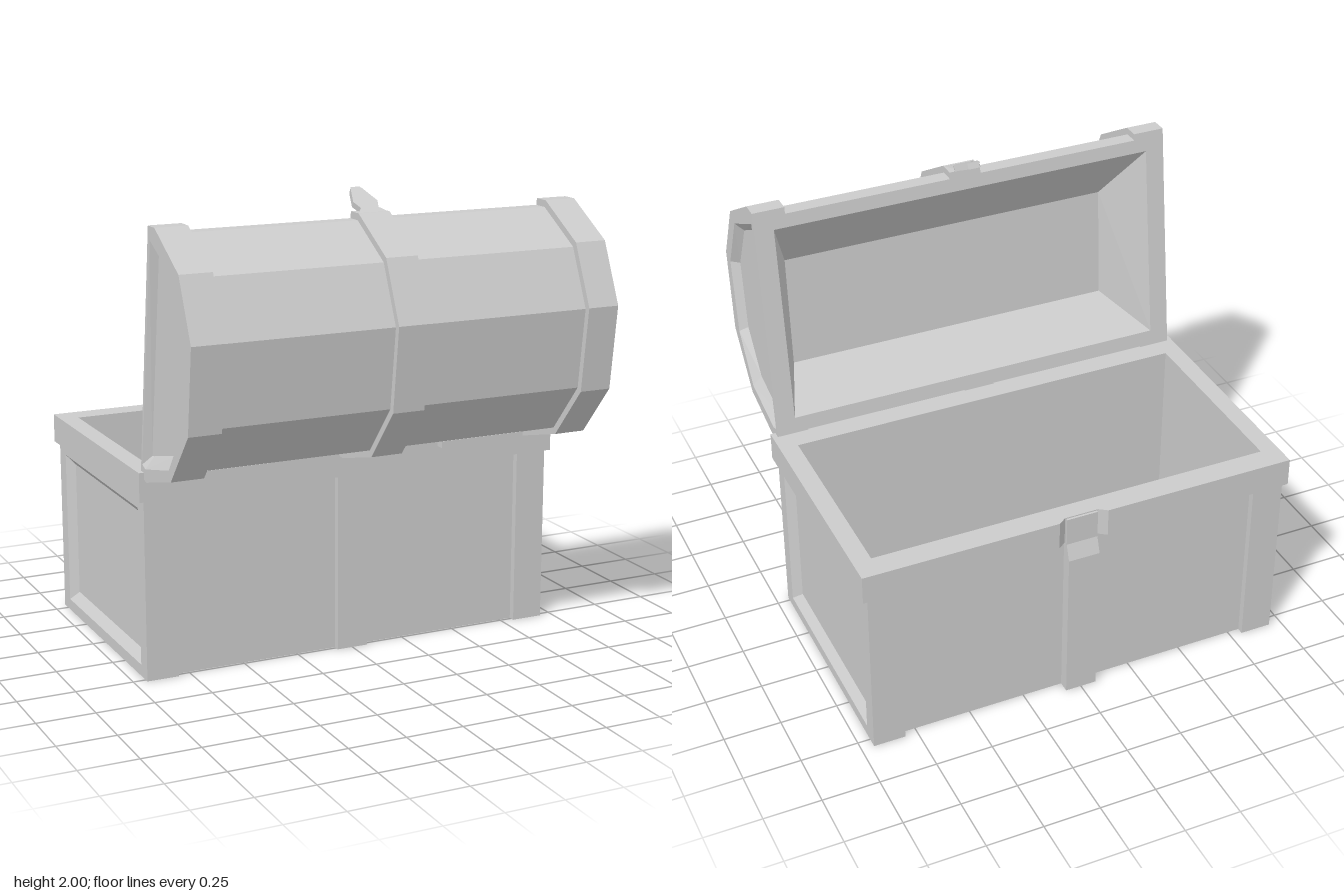
import * as THREE from 'three';

const mat = new THREE.MeshStandardMaterial({ color: 0xcccccc, flatShading: true, side: THREE.DoubleSide });

function add(parent, name, geometry) {
  const mesh = new THREE.Mesh(geometry, mat);
  mesh.name = name;
  parent.add(mesh);
  return mesh;
}

// Box given by its limits on each axis
function box(parent, name, x0, x1, y0, y1, z0, z1) {
  const g = new THREE.BoxGeometry(x1 - x0, y1 - y0, z1 - z0);
  g.translate((x0 + x1) / 2, (y0 + y1) / 2, (z0 + z1) / 2);
  return add(parent, name, g);
}

// Skin through a list of loops of [x, y, z], with an optional flat end cap
function skin(loops, closed, cap) {
  const v = [];
  for (let k = 0; k + 1 < loops.length; k++) {
    const a = loops[k], b = loops[k + 1], n = a.length;
    for (let i = 0; i < (closed ? n : n - 1); i++) {
      const j = (i + 1) % n;
      v.push(...a[i], ...a[j], ...b[j], ...a[i], ...b[j], ...b[i]);
    }
  }
  if (cap) {
    const c = loops[loops.length - 1];
    for (let i = 1; i + 1 < c.length; i++) v.push(...c[0], ...c[i], ...c[i + 1]);
  }
  const g = new THREE.BufferGeometry();
  g.setAttribute('position', new THREE.Float32BufferAttribute(v, 3));
  g.computeVertexNormals();
  return g;
}

// Profile of [z, y] placed at x
const at = (profile, x) => profile.map(([z, y]) => [x, y, z]);
// The same, with the order reversed on the -x side so faces look outward
const atSide = (profile, x) => (x > 0 ? at(profile, x) : at(profile, x).reverse());
const shapeOf = (pts) => new THREE.Shape(pts.map((p) => new THREE.Vector2(...p)));

function buildBase() {
  const base = new THREE.Group();
  base.name = 'chestBase';
  box(base, 'floor', -0.9, 0.9, 0, 0.06, -0.765, 0.24);
  box(base, 'frontWall', -0.89, 0.89, 0, 0.775, -0.765, -0.70);
  box(base, 'backWall', -0.89, 0.89, 0, 0.775, 0.155, 0.24);

  // Ends: corner straps, rails and a sunken panel with a sloped border
  const opening = [[-0.72, 0.73], [0.2, 0.73], [0.2, 0.05], [-0.72, 0.05]];
  const panel = [[-0.685, 0.69], [0.16, 0.69], [0.16, 0.09], [-0.685, 0.09]];
  for (const s of [-1, 1]) {
    const side = (name, a, b, ...rest) => box(base, name, Math.min(s * a, s * b), Math.max(s * a, s * b), ...rest);
    side('endWall', 0.887, 0.908, 0, 0.775, -0.75, 0.23);
    side('frontCornerStrap', 0.805, 0.945, 0, 0.775, -0.795, -0.72);
    side('backCornerStrap', 0.805, 0.945, 0, 0.775, 0.2, 0.27);
    side('bottomRail', 0.887, 0.945, 0, 0.05, -0.72, 0.2);
    side('topRail', 0.887, 0.945, 0.73, 0.775, -0.72, 0.2);
    add(base, 'endPanel', skin([atSide(opening, s * 0.945), atSide(panel, s * 0.91)], true, true));
  }

  // Middle straps, the front one stepping in below the rim
  box(base, 'backStrap', -0.07, 0.07, 0, 0.775, 0.2, 0.27);
  const strap = new THREE.ExtrudeGeometry(
    shapeOf([[-0.75, 0], [-0.75, 0.895], [-0.79, 0.895], [-0.79, 0.77], [-0.815, 0.70], [-0.815, 0]]),
    { depth: 0.14, bevelEnabled: false });
  strap.rotateY(-Math.PI / 2).translate(0.07, 0, 0);
  add(base, 'frontStrap', strap);

  // Rim with a notch at the front for the hasp (shape y is -z)
  const rim = shapeOf([[-0.967, -0.282], [0.967, -0.282], [0.967, 0.805], [0.11, 0.805],
    [0.075, 0.78], [-0.075, 0.78], [-0.11, 0.805], [-0.967, 0.805]]);
  rim.holes.push(shapeOf([[-0.887, -0.155], [-0.887, 0.70], [0.887, 0.70], [0.887, -0.155]]));
  const rimGeo = new THREE.ExtrudeGeometry(rim, { depth: 0.125, bevelEnabled: false });
  rimGeo.rotateX(-Math.PI / 2).translate(0, 0.775, 0);
  add(base, 'rim', rimGeo);
  return base;
}

function buildLid() {
  const lid = new THREE.Group();
  lid.name = 'openLid';

  // Faceted arch from the top lip round to the hinge edge, as [z, y]
  const outer = [[0.385, 1.918], [0.455, 1.918], [0.70, 1.775], [0.815, 1.52],
    [0.77, 1.16], [0.58, 0.935], [0.31, 0.865], [0.245, 0.875]];
  // Boards lie slightly inside the bands
  const inner = outer.map(([z, y]) => [0.315 + (z - 0.315) * 0.945, 1.3965 + (y - 1.3965) * 0.945]);
  const bands = [[-0.945, -0.805], [-0.07, 0.07], [0.805, 0.945]];
  const loops = [];
  bands.forEach(([a, b], i) => {
    if (i > 0) loops.push(at(inner, a));
    loops.push(at(outer, a), at(outer, b));
    if (i < 2) loops.push(at(inner, b));
  });
  add(lid, 'lidBoardsAndBands', skin(loops, false));

  // Ends with a sunken panel
  const opening = [[0.403, 1.862], [0.403, 1.862], [0.65, 1.74], [0.76, 1.50],
    [0.71, 1.175], [0.56, 0.978], [0.30, 0.918], [0.265, 0.93]];
  const panel = [[0.41, 1.825], [0.41, 1.825], [0.63, 1.71], [0.73, 1.50],
    [0.685, 1.20], [0.543, 1.03], [0.313, 0.972], [0.288, 0.967]];
  for (const s of [-1, 1]) {
    const end = [atSide(outer, s * 0.945), atSide(opening, s * 0.945), atSide(panel, s * 0.91)];
    add(lid, 'lidEnd', skin(end, true, true));
  }

  // Mouth rim and tapered hollow
  const quad = (x, [zt, yt], [zb, yb]) => [[x, yt, zt], [x, yb, zb], [-x, yb, zb], [-x, yt, zt]];
  add(lid, 'lidMouth', skin([
    quad(0.945, inner[0], inner[7]),
    quad(0.86, [0.373, 1.83], [0.258, 0.97]),
    quad(0.75, [0.605, 1.54], [0.57, 1.04]),
  ], true, true));
  for (const [a, b] of bands) {
    add(lid, 'bandTip', skin([at([inner[0], outer[0]], a), at([inner[0], outer[0]], b)], false));
    add(lid, 'bandTip', skin([at([outer[7], inner[7]], a), at([outer[7], inner[7]], b)], false));
  }

  // Hasp at the lip
  const half = [[0.07, 0], [0.04, 0.04], [0.055, 0.085], [0.027, 0.175], [0.02, 0.19]];
  const hasp = new THREE.ExtrudeGeometry(
    shapeOf([...half, ...half.map(([x, y]) => [-x, y]).reverse()]),
    { depth: 0.025, bevelEnabled: false });
  hasp.rotateX(-1.107).translate(0, 1.893, 0.44);
  add(lid, 'hasp', hasp);

  // Hinges along the back edge
  for (const s of [-1, 1]) {
    box(lid, 'hinge', s * 0.6 - 0.2, s * 0.6 + 0.2, 0.857, 0.886, 0.25, 0.32);
  }
  return lid;
}

export function createModel() {
  const chest = new THREE.Group();
  chest.name = 'chest';
  chest.add(buildBase(), buildLid());
  return chest;
}
